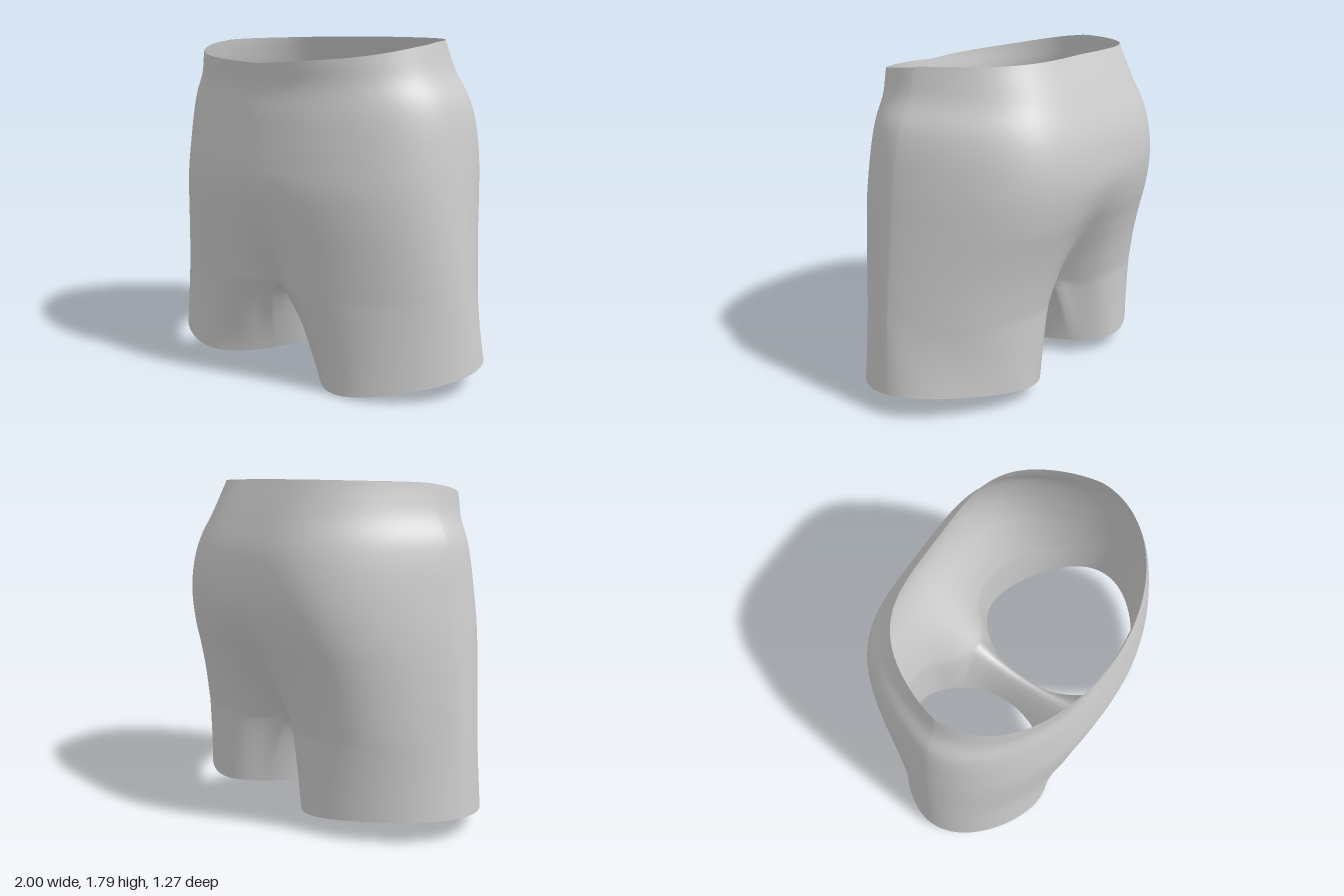
import * as THREE from 'three';
import { mergeVertices } from 'three/addons/utils/BufferGeometryUtils.js';

// Smooth lookup through [position, value] pairs in ascending order
function curve(...pairs) {
  const f = new THREE.CubicInterpolant(pairs.map(p => p[0]), pairs.map(p => p[1]), 1, [0]);
  return v => f.evaluate(v)[0];
}

const SPLIT = 0.5; // height where the body divides into legs
const OUT = 56, INN = 28, BODY_ROWS = 40, LEG_ROWS = 16;

// Outline against height
const widthLeft = curve([0.5, 0.962], [0.75, 0.935], [1, 0.905], [1.2, 0.88], [1.4, 0.845], [1.5, 0.812], [1.6, 0.752], [1.77, 0.7]);
const widthRight = curve([0.5, 0.972], [0.75, 0.95], [1, 0.925], [1.2, 0.9], [1.4, 0.872], [1.5, 0.848], [1.6, 0.797], [1.76, 0.76]);
const front = curve([0.5, 0.585], [0.7, 0.605], [0.9, 0.628], [1.05, 0.637], [1.2, 0.625], [1.4, 0.6], [1.55, 0.577], [1.67, 0.59]);
const back = curve([0.5, -0.48], [0.7, -0.52], [0.85, -0.56], [1, -0.605], [1.2, -0.635], [1.4, -0.61], [1.6, -0.53], [1.79, -0.44]);
// Depth of the middle crease, front and back
const frontCrease = curve([0.5, 0.13], [0.7, 0.06], [0.85, 0.025], [1.05, 0], [1.3, 0], [1.8, 0]);
const backCrease = curve([0.5, 0.2], [0.7, 0.11], [0.85, 0.055], [1.1, 0], [1.3, 0], [1.8, 0]);
// Waist edge from front (0) to back (1)
const waistY = curve([0, 1.668], [0.25, 1.705], [0.5, 1.765], [0.75, 1.783], [1, 1.79]);

// Seam passing between the legs, from back to front
const crotch = new THREE.CatmullRomCurve3([
  [SPLIT, -0.28], [0.43, -0.15], [0.388, 0.04], [0.4, 0.22], [0.45, 0.37], [SPLIT, 0.455],
].map(([y, z]) => new THREE.Vector3(0, y, z)));

// Point on the body, angle 0 at the front to PI at the back
function bodyPoint(side, a, y) {
  const c = Math.cos(a);
  const x = (side > 0 ? widthLeft : widthRight)(y) * Math.sin(a);
  // Round front, flatter back
  const z = c > 0
    ? 0.07 + (front(y) - 0.07) * c - frontCrease(y) * Math.exp(-((x / 0.15) ** 2))
    : 0.07 + (back(y) - 0.07) * Math.sin(Math.PI / 2 * Math.pow(-c, 1.5)) + backCrease(y) * Math.exp(-((x / 0.2) ** 2));
  return new THREE.Vector3(Math.abs(x) < 1e-6 ? 0 : side * x, y, z);
}

// Point on the leg opening, angle 0 at the front, PI / 2 outside
function hemPoint(side, a) {
  const s = Math.sin(a), c = Math.cos(a);
  const x = 0.545 + 0.455 * s - (c > 0 ? 0.08 : 0.1) * c * c * (1 + s);
  const y = side > 0
    ? 0.0705 - 0.044 * c + 0.027 * s - 0.0245 * Math.cos(2 * a)
    : 0.08 - 0.02 * c + 0.02 * s - 0.015 * Math.cos(2 * a);
  return new THREE.Vector3(side * x, y, 0.03 + 0.485 * c + 0.03 * s);
}

function buildSide(side, pos, idx) {
  const grid = (rows, cols, point) => {
    const base = pos.length / 3;
    for (let r = 0; r <= rows; r++)
      for (let c = 0; c <= cols; c++) pos.push(...point(r / rows, c).toArray());
    for (let r = 0; r < rows; r++)
      for (let c = 0; c < cols; c++) {
        const a = base + r * (cols + 1) + c, b = a + 1, d = a + cols + 1, e = d + 1;
        if (side > 0) idx.push(a, d, b, b, d, e);
        else idx.push(a, b, d, b, e, d);
      }
  };
  // Half of the body, waist to split
  grid(BODY_ROWS, OUT, (v, c) => {
    const k = c / OUT;
    return bodyPoint(side, k * Math.PI, THREE.MathUtils.lerp(waistY(k), SPLIT, v));
  });
  // Leg, from the split and the seam down to the hem
  const turn = 0.9;
  grid(LEG_ROWS, OUT + INN, (t, c) => {
    let top, a, power = 0.6;
    if (c <= OUT) {
      const k = c / OUT;
      top = bodyPoint(side, k * Math.PI, SPLIT);
      a = -turn + k * (Math.PI + 2 * turn);
      power = 1 - 0.4 * Math.pow(Math.cos(k * Math.PI), 8);
    } else {
      const k = (c - OUT) / INN;
      top = crotch.getPoint(k);
      a = Math.PI + turn + k * (Math.PI - 2 * turn);
    }
    const hem = hemPoint(side, a);
    const p = top.clone().lerp(hem, t);
    p.x = THREE.MathUtils.lerp(top.x, hem.x, Math.pow(t, power));
    return p;
  });
}

export function createModel() {
  const group = new THREE.Group();
  group.name = 'shorts';
  const cloth = new THREE.MeshStandardMaterial({ color: 0xcccccc, side: THREE.DoubleSide });
  cloth.name = 'grey cloth';

  const pos = [], idx = [];
  for (const side of [1, -1]) buildSide(side, pos, idx);
  let geometry = new THREE.BufferGeometry();
  geometry.setAttribute('position', new THREE.Float32BufferAttribute(pos, 3));
  geometry.setIndex(idx);
  geometry = mergeVertices(geometry, 1e-4);
  geometry.computeVertexNormals();

  const mesh = new THREE.Mesh(geometry, cloth);
  mesh.name = 'shortsCloth';
  group.add(mesh);
  return group;
}
